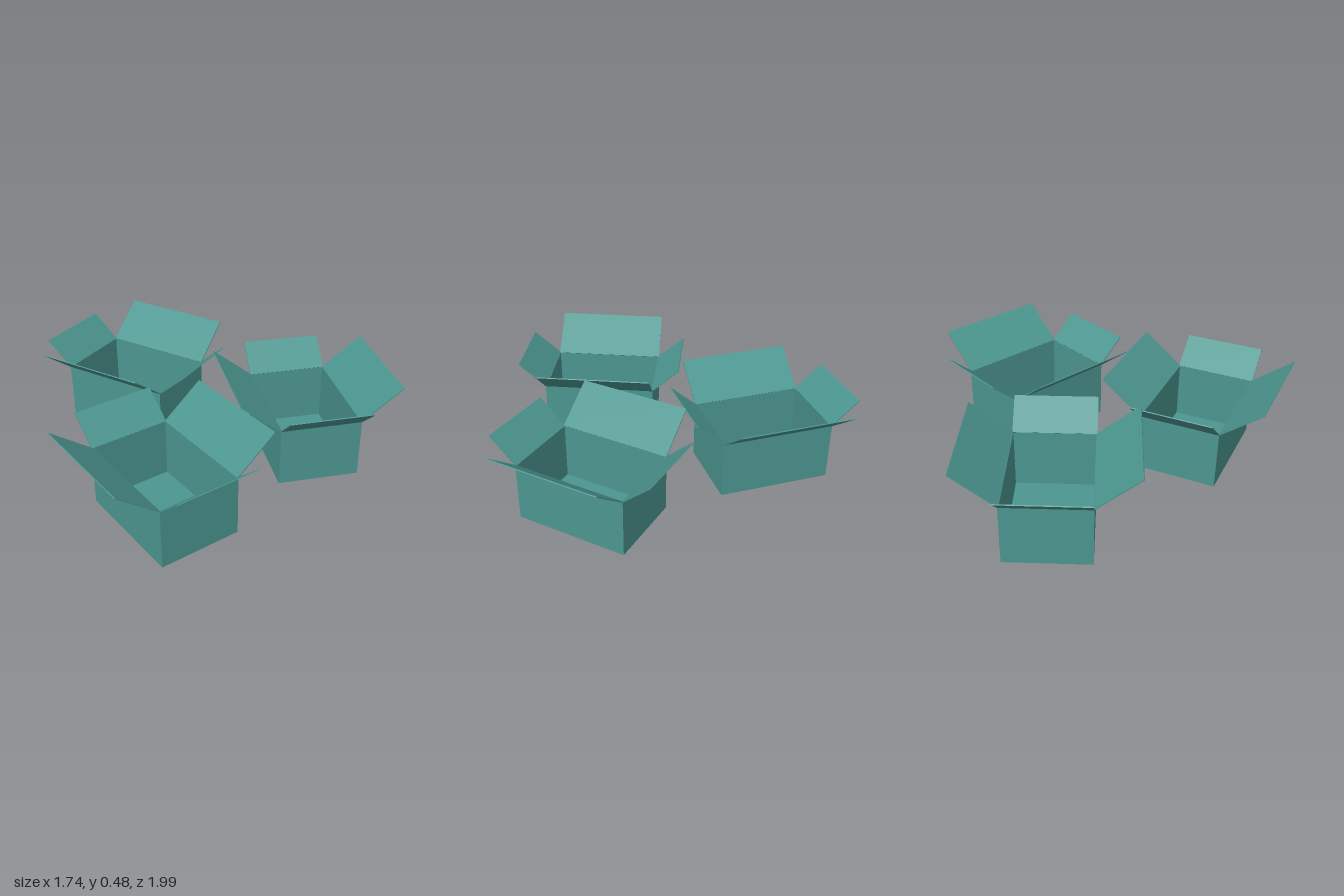
import * as THREE from 'three';

const W = 0.42, D = 0.6, H = 0.31, T = 0.005;

export function createModel() {
  const cardboard = new THREE.MeshStandardMaterial({ color: 0x4c9690 });
  cardboard.name = 'teal cardboard';

  const panel = (name, parent, size, pos) => {
    const mesh = new THREE.Mesh(new THREE.BoxGeometry(...size), cardboard);
    mesh.name = name;
    mesh.position.set(...pos);
    parent.add(mesh);
    return mesh;
  };

  // One wall with its flap hinged on the top edge, facing local +z
  function side(label, width, offset, run, rise, angle) {
    const g = new THREE.Group();
    g.name = label + 'Side';
    panel(label + 'Wall', g, [width, H, T], [0, H / 2, offset - T / 2]);
    const hinge = new THREE.Group();
    hinge.name = label + 'FlapHinge';
    hinge.position.set(0, H, offset - T / 2);
    hinge.rotation.x = -Math.atan2(rise, run);
    const length = Math.hypot(run, rise);
    panel(label + 'Flap', hinge, [width, T, length], [0, 0, length / 2]);
    g.add(hinge);
    g.rotation.y = angle;
    return g;
  }

  // Open box: floor, four walls, four raised flaps
  function openBox(name, x, z, turn) {
    const box = new THREE.Group();
    box.name = name;
    panel('floor', box, [W - 2 * T, T, D - 2 * T], [0, T / 2, 0]);
    box.add(
      side('front', W, D / 2, 0.145, 0.127, 0),
      side('back', W, D / 2, 0.145, 0.127, Math.PI),
      side('left', D, W / 2, 0.21, 0.165, Math.PI / 2),
      side('right', D, W / 2, 0.21, 0.165, -Math.PI / 2)
    );
    box.position.set(x, 0, z);
    box.rotation.y = THREE.MathUtils.degToRad(turn);
    return box;
  }

  const model = new THREE.Group();
  model.name = 'openBoxes';
  model.add(
    openBox('leftBox', 0.449, 0.071, 0),
    openBox('frontRightBox', -0.37, 0.505, 23.4),
    openBox('backRightBox', -0.355, -0.485, 46.6)
  );
  return model;
}
